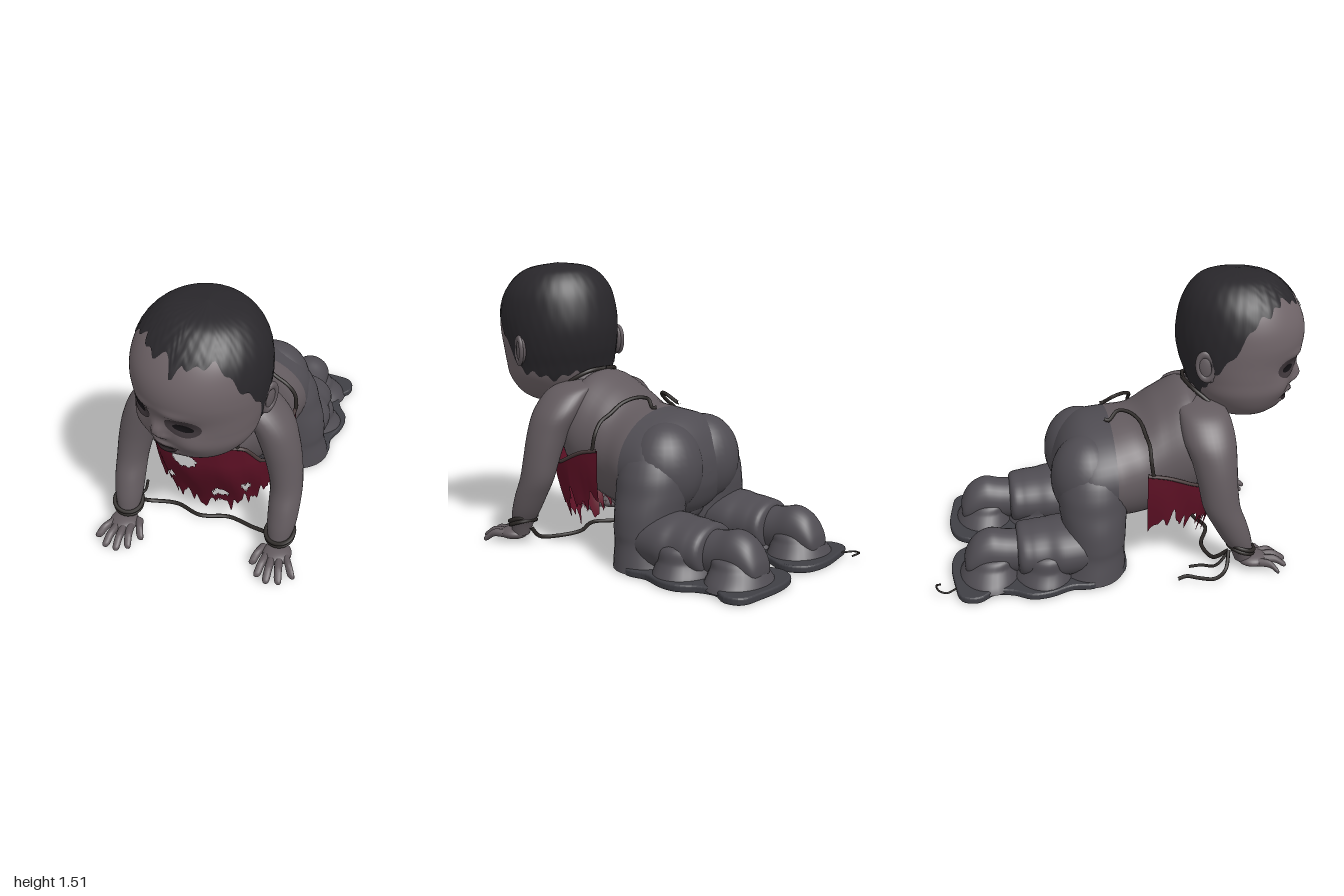
import * as THREE from 'three';

const { sin, cos, abs, sign, exp, min, max, floor, PI } = Math;
const SKIN = 0x625a5e, FACE = 0x6f6468, CLOTH = 0x4f4c52, ROPE = 0x2b2725;

// Catmull-Rom through rows of numbers, t from 0 to 1
function smooth(rows, t) {
  const n = rows.length - 1, f = t * n, i = min(floor(f), n - 1), s = f - i;
  const at = k => rows[max(0, min(n, k))];
  return rows[0].map((_, c) => {
    const [a, b, d, e] = [i - 1, i, i + 1, i + 2].map(k => at(k)[c]);
    return b + 0.5 * s * (d - a + s * (2 * a - 5 * b + 4 * d - e + s * (3 * (b - d) + e - a)));
  });
}

// Grid surface: fn(u, v) gives a point; closed joins u = 1 to u = 0
function surface(fn, nu, nv, closed = true, skip = null) {
  const pos = [], index = [], cols = closed ? nu : nu + 1;
  for (let j = 0; j <= nv; j++)
    for (let i = 0; i < cols; i++) pos.push(...fn(i / nu, j / nv));
  for (let j = 0; j < nv; j++)
    for (let i = 0; i < nu; i++) {
      const k = (i + 1) % cols, a = j * cols + i, b = j * cols + k;
      if (skip && skip(pos[a * 3], pos[a * 3 + 1])) continue;
      index.push(a, b, b + cols, a, b + cols, a + cols);
    }
  const g = new THREE.BufferGeometry();
  g.setAttribute('position', new THREE.Float32BufferAttribute(pos, 3));
  g.setIndex(index);
  g.computeVertexNormals();
  return g;
}

// Lofts through rows [x, y, z, r1, r2]: rings lie flat (upward) or upright (back to front)
const loftUp = (rows, nu = 32, nv = 40) => surface((u, v) => {
  const [x, y, z, a, b] = smooth(rows, v), t = u * 2 * PI;
  return [x + sin(t) * max(0, a), y, z + cos(t) * max(0, b)];
}, nu, nv);
const loftForward = (rows, nu = 32, nv = 40, v0 = 0, v1 = 1) => surface((u, v) => {
  const [x, y, z, a, b] = smooth(rows, v0 + (v1 - v0) * v), t = u * 2 * PI;
  return [x + cos(t) * max(0, a), y + sin(t) * max(0, b), z];
}, nu, nv);
const flip = (rows, s) => rows.map(([x, ...r]) => [x * s, ...r]);

function add(parent, name, geometry, color, side = THREE.FrontSide) {
  const m = new THREE.Mesh(geometry, new THREE.MeshStandardMaterial({ color, side }));
  m.name = name;
  parent.add(m);
  return m;
}
function ball(parent, name, color, p, r) {
  const m = add(parent, name, new THREE.SphereGeometry(1, 28, 20), color);
  m.position.set(...p);
  m.scale.set(...r);
}
function cord(parent, name, pts, r = 0.01, color = ROPE) {
  const c = new THREE.CatmullRomCurve3(pts.map(p => new THREE.Vector3(...p)));
  add(parent, name, new THREE.TubeGeometry(c, 48, r, 7), color);
}

// Head rows: y, z, half width, half depth (z relative to the head's axis)
const HEAD = [[.73, .02, 0, 0], [.737, .025, .08, .1], [.77, .02, .175, .17], [.82, .012, .24, .222], [.9, .005, .29, .265],
  [.98, 0, .305, .29], [1.06, -.005, .315, .313], [1.16, 0, .322, .335], [1.26, 0, .317, .327], [1.36, -.01, .29, .29],
  [1.44, -.02, .23, .23], [1.485, -.025, .15, .155], [1.508, -.025, 0, 0]];
// Face relief: x, y, width, height, depth
const RELIEF = [[.125, 1.035, .06, .035, -.018], [.17, .92, .08, .07, .022], [.09, 1.1, .07, .025, .012], [0, .965, .034, .045, .036],
  [.03, .94, .02, .018, .014], [0, .875, .06, .016, .02], [0, .82, .055, .018, .018], [0, .848, .07, .009, -.014], [0, .775, .05, .03, .016]];
function headPoint(a, v, grow = 1) {
  const [y, z, w, d] = smooth(HEAD, v);
  const x = sin(a) * max(0, w) * grow;
  let pz = z + cos(a) * max(0, d) * grow;
  if (cos(a) > 0)
    for (const [bx, by, sx, sy, h] of RELIEF)
      for (const s of bx ? [-1, 1] : [1])
        pz += h * cos(a) * exp(-(((x - s * bx) / sx) ** 2) - ((y - by) / sy) ** 2);
  return [x, y + (grow - 1) * (y - 1.1), pz];
}
function headLevel(y) {
  let lo = 0, hi = 1;
  for (let i = 0; i < 24; i++) {
    const m = (lo + hi) / 2;
    if (smooth(HEAD, m)[0] < y) lo = m; else hi = m;
  }
  return lo;
}

function makeHead() {
  const head = new THREE.Group();
  head.name = 'head';
  add(head, 'face', surface((u, v) => headPoint(u * 2 * PI, v), 96, 110), FACE);

  // Hair cap with a ragged hairline
  const hairline = a => {
    const t = max(0, min(1, (cos(a) + .7) / 1.5));
    return .92 + .45 * t * t * (3 - 2 * t) + .016 * sin(9 * a) + .014 * sin(23 * a + 1) - .1 * exp(-(((a - .25) / .07) ** 2));
  };
  add(head, 'hair', surface((u, v) => {
    const a = (u * 2 - 1) * PI, v0 = headLevel(hairline(a));
    return headPoint(a, v0 + (1 - v0) * v, 1.008 + .005 * sin(a * 31 + v * 9) * sin(v * 19 + a * 4) * (1 - v));
  }, 140, 50), 0x29272b, THREE.DoubleSide);

  // Dark patches that hug the face
  const patch = (name, x, y, rx, ry, color, lift) => {
    add(head, name, surface((u, v) => {
      const r = 1 - v, t = u * 2 * PI;
      const p = headPoint((x + cos(t) * rx * r) / .3, headLevel(y + sin(t) * ry * r));
      return [p[0], p[1], p[2] + lift];
    }, 32, 12), color);
  };
  for (const s of [-1, 1]) {
    patch('eyeShadow', s * .128, 1.035, .085, .055, 0x40383c, .003);
    patch('eye', s * .128, 1.03, .05, .02, 0x121013, .006);
    patch('nostril', s * .018, .928, .01, .007, 0x1a1517, .003);

    // Ears: bowl, rim and lobe, lying close to the head
    const ear = new THREE.Group();
    ear.name = 'ear';
    ear.position.set(s * .288, 1.065, -.13);
    ear.rotation.set(-.15, s * -.1, 0);
    ball(ear, 'earBowl', SKIN, [0, 0, 0], [.024, .075, .045]);
    const rim = add(ear, 'earRim', new THREE.TorusGeometry(.041, .012, 10, 32), SKIN);
    rim.rotation.y = PI / 2;
    rim.scale.set(1, 1.6, 1);
    rim.position.x = s * .012;
    ball(ear, 'earLobe', SKIN, [0, -.065, .015], [.016, .024, .022]);
    head.add(ear);
  }
  patch('lips', 0, .848, .085, .036, 0x2b2226, .003);
  patch('mouth', 0, .848, .065, .012, 0x0f0c0e, .006);
  // Turned and tilted to its right
  head.position.set(-.036, .002, .66);
  head.rotation.set(0, -.4, -.06, 'ZYX');
  return head;
}

function makeBib(g) {
  const span = 1.6;
  const top = [[.61], [.62], [.6], [.49], [.47], [.52], [.57]];
  const holes = [[-.1, .49, .065, .04], [.06, .235, .045, .03], [.03, .12, .03, .03], [.2, .3, .02, .03], [-.2, .3, .02, .025]];
  const place = (a, y, out = 0) => {
    const t = max(0, min(1, (.5 - y) / .45)), q = t * t * (3 - 2 * t);
    return [(.365 - .03 * q + out) * sign(sin(a)) * abs(sin(a)) ** .8, y, .13 + (.47 - .14 * q + out) * sign(cos(a)) * abs(cos(a)) ** .8];
  };
  const edge = a => smooth(top, min(1, abs(a) / span))[0];
  add(g, 'bib', surface((u, v) => {
    const a = (u * 2 - 1) * span;
    const low = .11 + .17 * min(1, abs(a) / 1.2) ** 1.3 + .03 * sin(17 * a) + .03 * sin(41 * a + 1) + .02 * sin(67 * a);
    const y = low + (edge(a) - low) * v;
    return place(a, y, .006 * sin(a * 14 + y * 9) * (1 - v));
  }, 170, 70, false, (x, y) => holes.some(([hx, hy, rx, ry]) => ((x - hx) / rx) ** 2 + ((y - hy) / ry) ** 2 < 1)), 0x5c1024, THREE.DoubleSide);
  const hem = [];
  for (let i = 0; i <= 24; i++) { const a = (i / 12 - 1) * span; hem.push(place(a, edge(a), .002)); }
  cord(g, 'bibHem', hem, .01, 0x4a3c3c);
}

export function createModel() {
  const g = new THREE.Group();
  g.name = 'crawlingBaby';
  g.add(makeHead());

  // Torso, split into clothed hips and bare back
  const torso = [[0, .46, -.35, 0, 0], [0, .46, -.34, .15, .09], [0, .465, -.29, .3, .2], [0, .475, -.2, .385, .265], [0, .49, -.05, .385, .275],
    [0, .5, .08, .35, .29], [0, .55, .2, .335, .32], [0, .615, .35, .33, .32], [0, .62, .46, .25, .235], [0, .61, .545, .17, .14], [0, .61, .57, 0, 0]];
  add(g, 'hips', loftForward(torso, 48, 30, 0, .4), CLOTH);
  add(g, 'back', loftForward(torso, 48, 40, .4, 1), SKIN);
  add(g, 'neck', loftUp([[0, .62, .46, .2, .1], [0, .72, .46, .2, .125], [0, .8, .47, .18, .125], [.01, .9, .49, .17, .125], [.02, 1, .55, .17, .14]]), SKIN);
  for (const [y, r] of [[.73, .16], [.68, .175]]) {
    const fold = add(g, 'neckFold', new THREE.TorusGeometry(r, .028, 12, 40), SKIN);
    fold.position.set(0, y, .455);
    fold.rotation.x = PI / 2 + .15;
    fold.scale.y = .7;
  }
  ball(g, 'crotch', CLOTH, [0, .27, -.12], [.2, .13, .15]);

  makeBib(g);

  for (const s of [-1, 1]) {
    const limb = (name, rows, color, make = loftUp) => add(g, name, make(flip(rows, s)), color);
    const tie = (name, pts, r) => cord(g, name, flip(pts, s), r);

    // Arms and hands
    limb('arm', [[.41, .05, .62, .045, .05], [.41, .12, .6, .06, .06], [.413, .19, .57, .074, .078], [.415, .28, .53, .08, .09],
      [.412, .38, .485, .083, .097], [.392, .5, .465, .093, .103], [.36, .62, .45, .103, .117], [.315, .73, .43, .108, .135],
      [.235, .825, .42, .108, .13], [.16, .87, .41, .09, .1], [.13, .89, .41, 0, 0]], SKIN);
    ball(g, 'palm', SKIN, [s * .415, .05, .665], [.075, .034, .08]);
    const fingers = [[.3, .745, .34, .65], [.345, .82, .37, .7], [.4, .85, .4, .71], [.462, .84, .435, .71], [.522, .785, .465, .69]];
    for (const [tx, tz, bx, bz] of fingers) {
      const m = [(tx + bx) / 2, (tz + bz) / 2], d = tz - bz;
      limb('finger', [[bx, .05, bz - .01, .022, .022], [m[0], .052, m[1], .02, .021], [tx - (tx - bx) * .15, .026, tz - d * .15, .019, .018],
        [tx, .019, tz - .004, .012, .011], [tx, .018, tz, 0, 0]], SKIN, r => loftForward(r, 12, 16));
    }
    for (const [y, r] of [[.118, .07], [.14, .074]]) {
      const band = add(g, 'wristCord', new THREE.TorusGeometry(r, .011, 8, 32), ROPE);
      band.position.set(s * .411, y, .597);
      band.rotation.set(PI / 2 + .35, s * .1, 0);
    }

    // Legs: buttock, thigh, calf and foot
    ball(g, 'buttock', CLOTH, [s * .165, .485, -.185], [.21, .235, .19]);
    limb('thigh', [[.265, .01, -.19, .235, .19], [.265, .06, -.18, .225, .178], [.27, .14, -.17, .205, .165], [.27, .2, -.165, .205, .165],
      [.265, .29, -.165, .2, .17], [.25, .38, -.165, .19, .18], [.23, .48, -.16, .185, .18], [.2, .58, -.15, .15, .15], [.18, .66, -.15, 0, 0]], CLOTH);
    limb('calf', [[.27, .15, -.575, 0, 0], [.27, .15, -.57, .15, .115], [.275, .15, -.5, .175, .137], [.275, .15, -.42, .18, .145],
      [.28, .155, -.34, .195, .148], [.28, .16, -.2, .18, .14]], CLOTH, loftForward);
    limb('foot', [[.275, .1, -.85, 0, 0], [.275, .1, -.84, .07, .06], [.275, .13, -.79, .1, .11], [.275, .155, -.71, .11, .123],
      [.275, .145, -.62, .11, .115], [.275, .14, -.5, .12, .11]], CLOTH, loftForward);

    // Sagging cloth that spreads from calf and foot to the floor
    limb('calfCloth', [[.295, .02, -.44, .24, .17], [.295, .045, -.44, .225, .16], [.29, .1, -.43, .195, .145], [.285, .18, -.42, .17, .135], [.285, .23, -.42, 0, 0]], CLOTH);
    limb('footCloth', [[.285, .02, -.72, .21, .165], [.285, .05, -.72, .19, .15], [.28, .1, -.71, .145, .13], [.28, .15, -.69, .11, .11], [.28, .18, -.69, 0, 0]], CLOTH);

    // Bib ties and neck straps
    tie('bibTie', [[.37, .57, .13], [.36, .65, .12], [.315, .71, .12], [.25, .745, .11], [.17, .795, .09], [.11, .82, .04], [.085, .815, -.01], [.11, .775, -.06], [.1, .78, -.08]]);
    tie('neckStrap', [[.175, .62, .57], [.185, .72, .555], [.195, .8, .525], [.18, .87, .46], [.11, .93, .38], [0, .94, .355]], .011);
  }

  // Flat pool of cloth under the legs, outline given as x, z
  const half = [[.22, 0], [.36, -.02], [.42, -.09], [.49, -.2], [.485, -.31], [.525, -.42], [.53, -.52], [.48, -.61], [.465, -.71], [.515, -.79],
    [.49, -.87], [.38, -.895], [.22, -.91], [.1, -.885], [.045, -.82], [.045, -.75], [.09, -.67], [.11, -.61], [.07, -.57]];
  const outline = [[0, -.01], ...half, [0, -.555], ...flip(half, -1).reverse()].map(([x, z]) => new THREE.Vector2(x, -z));
  const loop = new THREE.SplineCurve([...outline, outline[0]]).getPoints(160).slice(0, -1);
  const pool = new THREE.ExtrudeGeometry(new THREE.Shape(loop), { depth: .014, bevelEnabled: true, bevelThickness: .012, bevelSize: .01, bevelSegments: 4 });
  pool.rotateX(-PI / 2).translate(0, .014, 0);
  add(g, 'clothPool', pool, 0x3f3f45);

  // Rope between the wrists with frayed ends
  cord(g, 'wristRope', [[-.4, .1, .54], [-.35, .03, .47], [-.2, .02, .44], [-.05, .03, .5], [.1, .02, .46], [.25, .02, .5], [.36, .04, .53], [.41, .1, .54]], .011);
  cord(g, 'ropeEnd', [[-.43, .12, .53], [-.49, .04, .5], [-.54, .025, .43], [-.52, .025, .35], [-.5, .03, .29], [-.51, .025, .24]], .01);
  cord(g, 'ropeFray', [[-.42, .1, .53], [-.43, .03, .46], [-.4, .02, .39], [-.41, .025, .32]], .008);
  cord(g, 'looseThread', [[-.38, .03, -.86], [-.42, .03, -.91], [-.45, .035, -.95], [-.43, .04, -.99], [-.39, .045, -1], [-.37, .035, -.98]], .005);
  return g;
}
